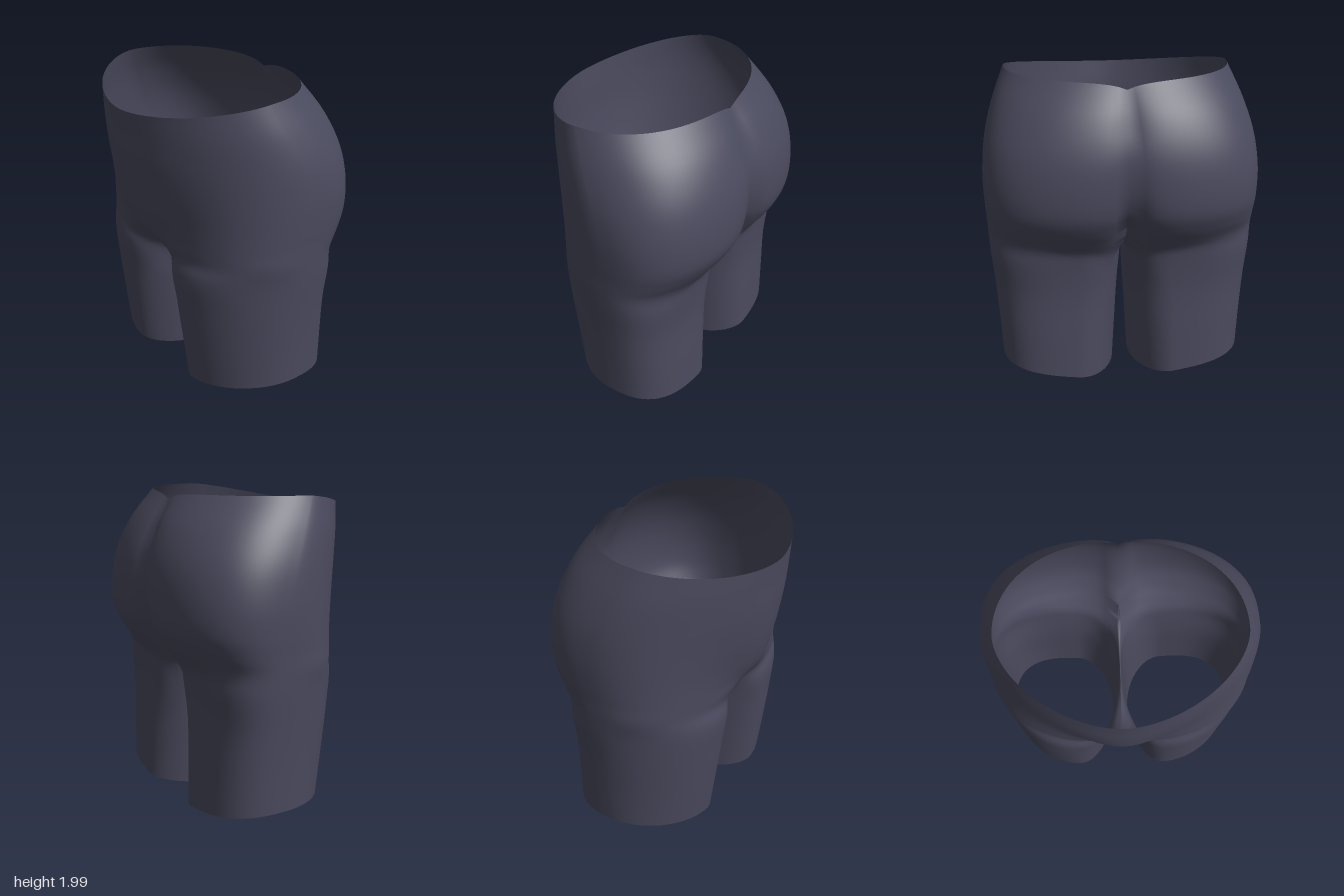
import * as THREE from 'three';
import { mergeVertices } from 'three/addons/utils/BufferGeometryUtils.js';

const OUTER = 64, INNER = 28, SUB = 5;

// Hip sections, waist to crotch: y, half width, z of widest point, front z, front bulge,
// bulge width, back z, cleft depth, front roundness, back roundness
const HIPS = [
  [1.995, 0.71, 0.13, 0.655, 0, 0.5, -0.435, 0, 1.75, 2.15],
  [1.8, 0.79, 0.03, 0.637, 0.006, 0.45, -0.565, 0.04, 1.78, 2.4],
  [1.6, 0.845, -0.06, 0.602, 0.03, 0.37, -0.642, 0.05, 1.86, 2.55],
  [1.4, 0.867, -0.12, 0.55, 0.06, 0.3, -0.67, 0.08, 2.06, 2.6],
  [1.22, 0.866, -0.13, 0.51, 0.068, 0.24, -0.662, 0.13, 2.25, 2.6],
  [1.1, 0.86, -0.12, 0.494, 0.042, 0.19, -0.61, 0.16, 2.36, 2.55],
  [1.0, 0.857, -0.1, 0.486, -0.03, 0.13, -0.54, 0.15, 2.4, 2.6],
];
// Leg sections, crotch to hem: y, inner x, outer x, z of widest point, front z, back z, inner roundness
const LEGS = [
  [0.86, 0.008, 0.85, -0.09, 0.473, -0.465, 2.5],
  [0.6, 0.025, 0.832, -0.08, 0.455, -0.45, 2.2],
  [0.3, 0.04, 0.816, -0.08, 0.425, -0.46, 2.0],
  [0, 0.055, 0.805, -0.08, 0.39, -0.47, 1.9],
];

const power = (v, p) => Math.sign(v) * Math.pow(Math.abs(v), 2 / p);

// Angle a runs from the front (0) round the outside to the back (PI)
function hipPoint([y, w, zw, front, bulge, bulgeWidth, back, cleft, pf, pb], a) {
  const isFront = Math.cos(a) > 0, p = isFront ? pf : pb;
  const x = w * power(Math.max(0, Math.sin(a)), p);
  const crease = Math.exp(-x / 0.1);
  const z = isFront
    ? zw + (front - zw) * power(Math.cos(a), p) + bulge * Math.exp(-((x / bulgeWidth) ** 2))
    : zw + (zw - back) * power(Math.cos(a), p) + cleft * crease;
  // The waistline drops at the front and at the centre back
  const drop = z > 0.1 ? 0.11 * Math.pow((z - 0.1) / 0.555, 1.4) : 0;
  const notch = isFront ? 0 : 0.045 * crease;
  const k = Math.pow(Math.max(0, (y - 1.3) / 0.695), 2);
  return new THREE.Vector3(x, y - k * (drop + notch), z);
}

function legPoint([y, xi, xo, zw, front, back, pi], a) {
  const s = Math.sin(a), c = Math.cos(a), xc = 0.32;
  // The outer back of the thigh is the fullest corner
  const p = s < 0 ? pi : c > 0 ? 1.9 : 2.8;
  const x = xc + (s < 0 ? xc - xi : xo - xc) * power(s, p);
  const z = zw + (c > 0 ? front - zw : zw - back) * power(c, p);
  // The hem rises towards the outside
  const tilt = 0.11 * ((x - 0.055) / 0.75) * (1 - y / 0.86);
  return new THREE.Vector3(x, y + tilt, z);
}

// Smooth column of points through its sections
const smooth = (pts) => new THREE.CatmullRomCurve3(pts).getPoints((pts.length - 1) * SUB);

function createHalfColumns() {
  const spread = Math.PI / 4;
  // Outer columns run from waist to hem
  const outer = [];
  for (let i = 0; i <= OUTER; i++) {
    const u = i / OUTER;
    const legAngle = -spread + u * (Math.PI + 2 * spread);
    outer.push(smooth([
      ...HIPS.map((h) => hipPoint(h, u * Math.PI)),
      ...LEGS.map((l) => legPoint(l, legAngle)),
    ]));
  }
  // Inner columns run from the crotch seam to the hem
  const start = (HIPS.length - 1) * SUB;
  const frontEnd = outer[0].slice(start), backEnd = outer[OUTER].slice(start);
  const inner = [backEnd];
  for (let i = 1; i < INNER; i++) {
    const u = i / INNER;
    const arch = 0.89 + 0.11 * Math.pow(Math.abs(2 * u - 1), 4);
    const seam = new THREE.Vector3(0, arch, THREE.MathUtils.lerp(backEnd[0].z, frontEnd[0].z, u));
    const legAngle = Math.PI + spread + u * (Math.PI - 2 * spread);
    inner.push(smooth([seam, ...LEGS.map((l) => legPoint(l, legAngle))]));
  }
  inner.push(frontEnd);
  return [outer, inner];
}

function createShortsGeometry() {
  const positions = [], indices = [];
  const patches = createHalfColumns();
  for (const side of [1, -1]) {
    for (const columns of patches) {
      const base = positions.length / 3, rows = columns[0].length;
      for (const column of columns) {
        for (const p of column) positions.push(Math.abs(p.x) < 1e-6 ? 0 : side * p.x, p.y, p.z);
      }
      for (let c = 0; c < columns.length - 1; c++) {
        for (let r = 0; r < rows - 1; r++) {
          const a = base + c * rows + r, b = a + 1, d = a + rows, e = d + 1;
          if (side > 0) indices.push(a, b, d, b, e, d);
          else indices.push(a, d, b, b, d, e);
        }
      }
    }
  }
  const geometry = new THREE.BufferGeometry();
  geometry.setAttribute('position', new THREE.Float32BufferAttribute(positions, 3));
  geometry.setIndex(indices);
  // Weld the halves so the shading runs smoothly across the seams
  const welded = mergeVertices(geometry, 1e-5);
  welded.computeVertexNormals();
  return welded;
}

export function createModel() {
  const fabric = new THREE.MeshStandardMaterial({ color: 0x4a4a5e, side: THREE.DoubleSide });
  fabric.name = 'slate fabric';
  const shorts = new THREE.Mesh(createShortsGeometry(), fabric);
  shorts.name = 'shorts';
  const group = new THREE.Group();
  group.name = 'fittedShorts';
  group.add(shorts);
  return group;
}
